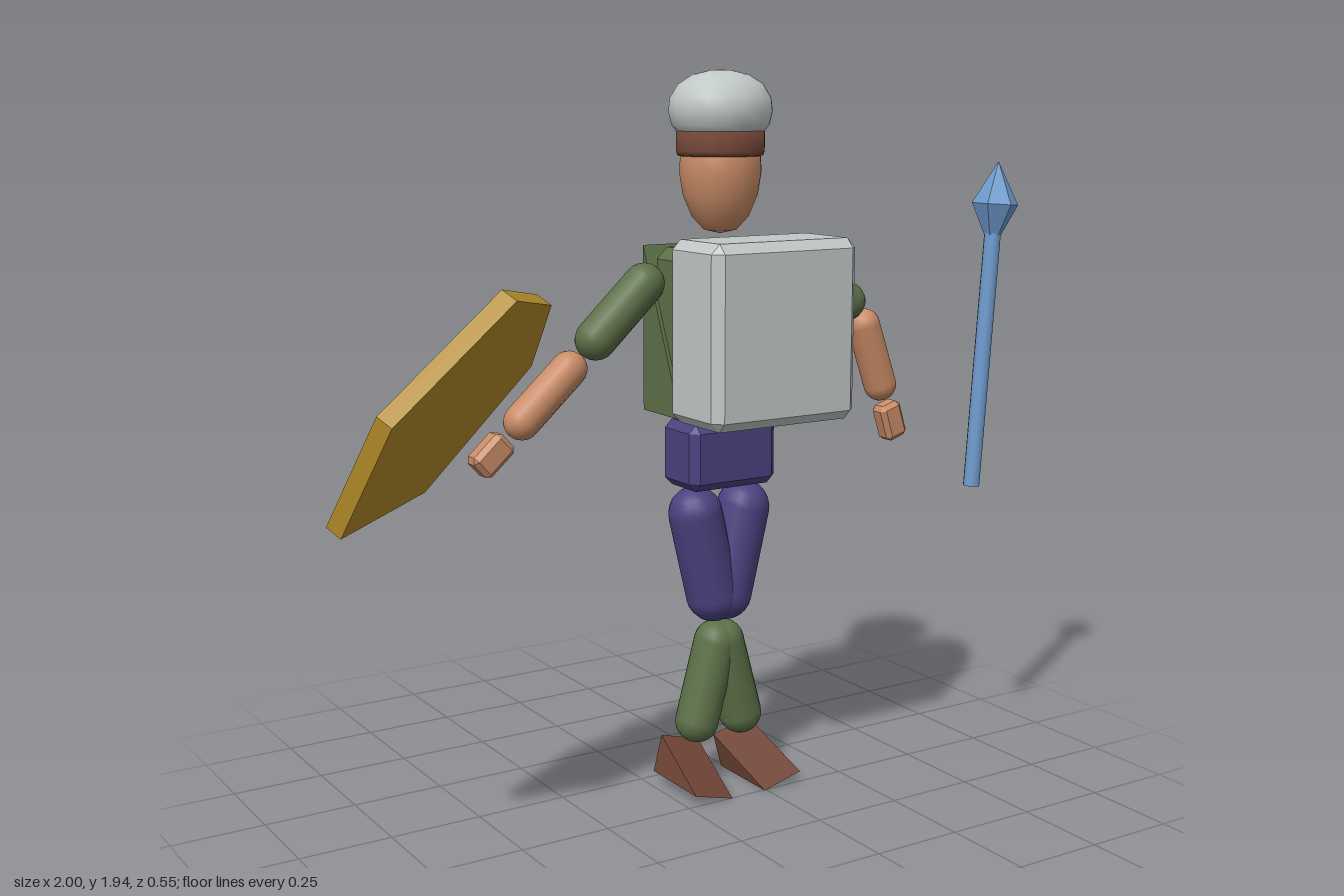
import * as THREE from 'three';
import { ConvexGeometry } from 'three/addons/geometries/ConvexGeometry.js';

const V = (x, y, z) => new THREE.Vector3(x, y, z);
const mat = (color, flatShading = false) => new THREE.MeshStandardMaterial({ color, flatShading });
const SKIN = 0xc98b66, GREEN = 0x5c7048, PURPLE = 0x4b4280, BROWN = 0x704536;
const GREY = 0xc0c8c6, GOLD = 0xb8902a, BLUE = 0x6f9ccf;
const CX = 0.19, CZ = -0.148; // body axis

export function createModel() {
  const root = new THREE.Group();
  root.name = 'guardFigure';

  const add = (name, geometry, material, x = 0, y = 0, z = 0) => {
    const mesh = new THREE.Mesh(geometry, material);
    mesh.name = name;
    mesh.position.set(x, y, z);
    root.add(mesh);
    return mesh;
  };

  // Box with every edge chamfered by c
  const chamferBox = (w, h, d, c) => {
    const pts = [];
    for (const i of [-1, 1]) for (const j of [-1, 1]) for (const k of [-1, 1]) {
      const x = w / 2, y = h / 2, z = d / 2;
      pts.push(V(i * x, j * (y - c), k * (z - c)));
      pts.push(V(i * (x - c), j * y, k * (z - c)));
      pts.push(V(i * (x - c), j * (y - c), k * z));
    }
    return new ConvexGeometry(pts);
  };

  // Ramp: tall at the back, thin at the front
  const wedge = (w, h, d) => {
    const s = new THREE.Shape([
      new THREE.Vector2(-d / 2, -h / 2),
      new THREE.Vector2(d / 2, -h / 2),
      new THREE.Vector2(-d / 2, h / 2),
    ]);
    return new THREE.ExtrudeGeometry(s, { depth: w, bevelEnabled: false })
      .translate(0, 0, -w / 2).rotateY(-Math.PI / 2);
  };

  // Capsule between two cap centres in the body plane
  const limb = (name, color, r, x1, y1, x2, y2) => {
    const dir = V(x2 - x1, y2 - y1, 0);
    const m = add(name, new THREE.CapsuleGeometry(r, dir.length(), 6, 16), mat(color),
      (x1 + x2) / 2, (y1 + y2) / 2, CZ);
    m.quaternion.setFromUnitVectors(V(0, 1, 0), dir.normalize());
  };

  const lathe = (pts, sides) =>
    new THREE.LatheGeometry(pts.map(([r, y]) => new THREE.Vector2(r, y)), sides);

  // Head, headband and cap
  const headParts = [
    ['head', SKIN, [[0, 1.52], [0.045, 1.53], [0.078, 1.565], [0.102, 1.62], [0.112, 1.68],
      [0.108, 1.74], [0.08, 1.79], [0, 1.81]]],
    ['headband', BROWN, [[0.1, 1.718], [0.117, 1.724], [0.12, 1.735], [0.12, 1.8], [0, 1.805]]],
    ['cap', GREY, [[0, 1.775], [0.115, 1.78], [0.132, 1.8], [0.141, 1.835], [0.137, 1.87],
      [0.115, 1.905], [0.075, 1.93], [0.03, 1.94], [0, 1.942]]],
  ];
  for (const [name, color, pts] of headParts) {
    const m = add(name, lathe(pts, 16), mat(color), CX, 0, CZ);
    m.scale.z = 0.92;
    m.material.side = THREE.DoubleSide;
  }

  // Trunk: chest block in front, torso, sloped back plate, hips
  add('chestBlock', chamferBox(0.44, 0.47, 0.23, 0.025), mat(GREY, true), CX, 1.285, 0.057);
  add('torso', chamferBox(0.34, 0.43, 0.155, 0.03), mat(GREEN, true), CX, 1.272, -0.143);
  add('backPlate', wedge(0.36, 0.44, 0.185), mat(GREEN, true), CX, 1.27, -0.152);
  add('hips', chamferBox(0.272, 0.18, 0.165, 0.022), mat(PURPLE, true), CX, 0.935, CZ);

  // Legs and feet, mirrored about the body axis
  for (const s of [-1, 1]) {
    const side = s > 0 ? 'left' : 'right';
    limb(side + 'Thigh', PURPLE, 0.074, CX + s * 0.077, 0.771, CX + s * 0.02, 0.535);
    limb(side + 'Shin', GREEN, 0.061, CX + s * 0.011, 0.4, CX + s * 0.071, 0.182);
    const foot = add(side + 'Foot', wedge(0.122, 0.103, 0.22), mat(BROWN, true),
      CX + s * 0.099, 0.066, -0.105);
    foot.rotation.z = s * 0.26;
  }

  // Arms: shoulder, elbow and wrist differ between the sides
  const arms = [
    { side: 'left', upper: [0.433, 1.41, 0.61, 1.315], fore: [0.673, 1.243, 0.735, 1.07],
      hand: [0.773, 0.963], turn: 0.31 },
    { side: 'right', upper: [-0.045, 1.4, -0.19, 1.265], fore: [-0.268, 1.195, -0.405, 1.072],
      hand: [-0.493, 0.997], turn: -0.84 },
  ];
  for (const a of arms) {
    limb(a.side + 'UpperArm', GREEN, 0.054, ...a.upper);
    limb(a.side + 'Forearm', SKIN, 0.047, ...a.fore);
    const hand = add(a.side + 'Hand', chamferBox(0.072, 0.107, 0.06, 0.013), mat(SKIN, true), ...a.hand, CZ);
    hand.rotation.z = a.turn;
  }

  // Tilted six-sided shield: corners laid into its plane, then extruded
  const corners = [
    V(-0.935, 1.178, 0.272), V(-0.6, 1.42, 0.245), V(-0.443, 1.395, 0.083),
    V(-0.42, 1.225, -0.055), V(-0.7, 0.935, -0.07), V(-0.995, 0.905, 0.095),
  ];
  const centre = corners.reduce((sum, p) => sum.add(p), V(0, 0, 0)).divideScalar(6);
  const turn = new THREE.Quaternion().setFromUnitVectors(V(0, 0, 1), V(-0.5, 0.54, -0.68).normalize());
  const flat = corners.map((p) => p.clone().sub(centre).applyQuaternion(turn.clone().invert()));
  const outline = new THREE.Shape(flat.map((p) => new THREE.Vector2(p.x, p.y)));
  const shield = add('shield', new THREE.ExtrudeGeometry(outline, { depth: 0.045, bevelEnabled: false }),
    mat(GOLD, true), centre.x, centre.y, centre.z);
  shield.quaternion.copy(turn);

  // Spear: shaft and pointed head on one leaning axis
  const spear = new THREE.Group();
  spear.name = 'spear';
  spear.position.set(0.88, 0.802, 0.09);
  spear.rotation.z = -0.068;
  const shaft = new THREE.Mesh(new THREE.CylinderGeometry(0.023, 0.023, 0.72, 10).translate(0, 0.36, 0), mat(BLUE));
  shaft.name = 'spearShaft';
  const tip = new THREE.Mesh(lathe([[0, 0.7], [0.023, 0.7], [0.064, 0.785], [0, 0.9]], 6), mat(BLUE, true));
  tip.name = 'spearHead';
  spear.add(shaft, tip);
  root.add(spear);

  return root;
}
